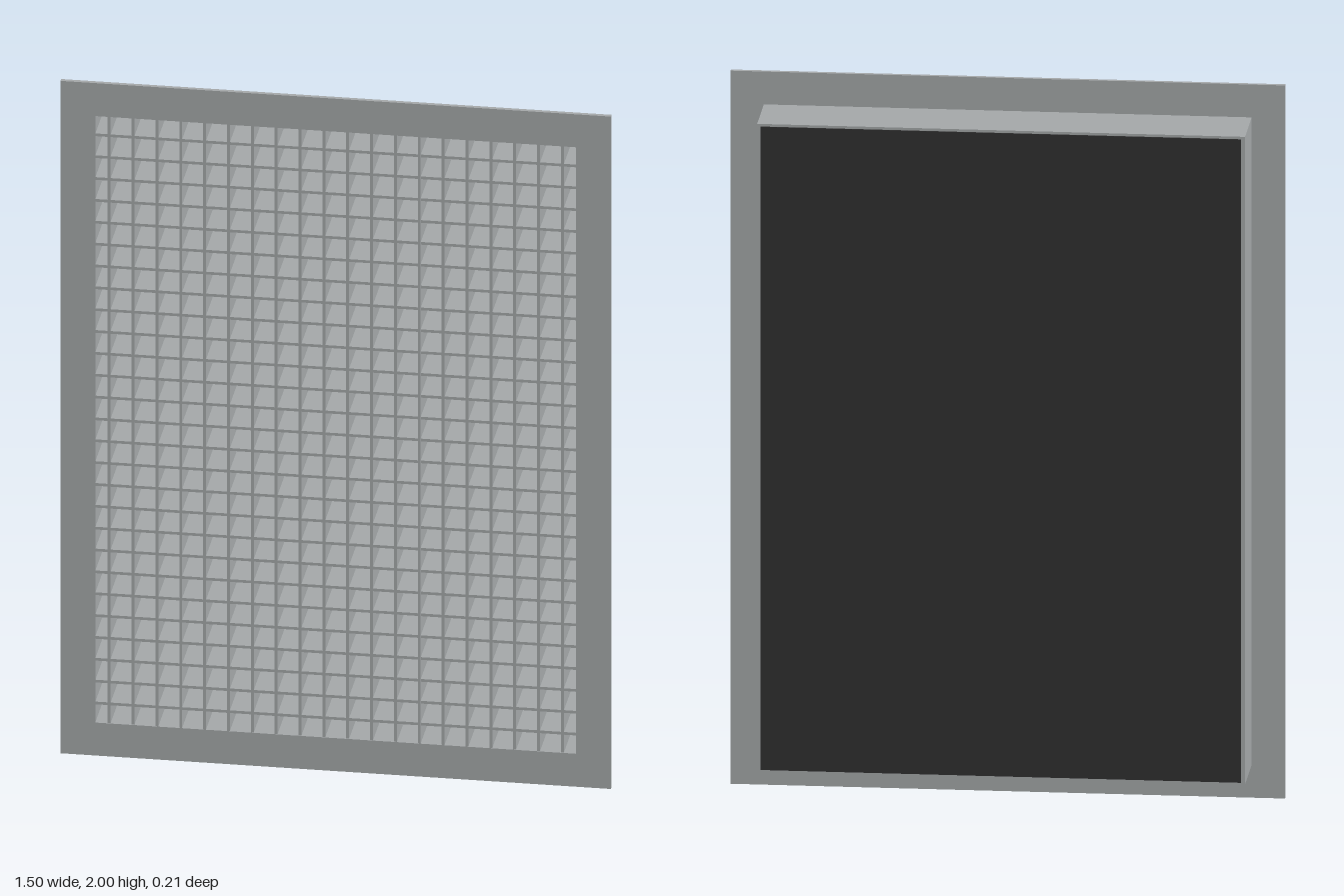
import * as THREE from 'three';

const grey = new THREE.MeshStandardMaterial({ color: 0xa3a7a8 });
grey.name = 'greyMetal';
const black = new THREE.MeshStandardMaterial({ color: 0x303030 });
black.name = 'blackBacking';

const MID = 1; // height of the centre

function box(name, w, h, d, x, y, z, material = grey) {
  const mesh = new THREE.Mesh(new THREE.BoxGeometry(w, h, d), material);
  mesh.name = name;
  mesh.position.set(x, y, z);
  return mesh;
}

// Rectangular ring, extruded from zBack to zFront
function ring(name, outerX, outerY, innerX, innerY, zBack, zFront) {
  const rect = (path, a, b) =>
    path.moveTo(-a, -b).lineTo(a, -b).lineTo(a, b).lineTo(-a, b).closePath();
  const shape = new THREE.Shape();
  rect(shape, outerX, outerY);
  const hole = new THREE.Path();
  rect(hole, innerX, innerY);
  shape.holes.push(hole);
  const geometry = new THREE.ExtrudeGeometry(shape, { depth: zFront - zBack, bevelEnabled: false });
  const mesh = new THREE.Mesh(geometry, grey);
  mesh.name = name;
  mesh.position.set(0, MID, zBack);
  return mesh;
}

export function createModel() {
  const model = new THREE.Group();
  model.name = 'ventGrille';

  // Front flange and the neck behind it
  model.add(ring('flange', 0.75, 1, 0.655, 0.902, 0.092, 0.104));
  model.add(ring('neck', 0.66, 0.908, 0.655, 0.902, -0.097, 0.092));
  model.add(box('neckBack', 1.31, 1.804, 0.004, 0, MID, -0.095));

  // Square lattice of thin deep blades
  const lattice = new THREE.Group();
  lattice.name = 'lattice';
  const pitch = 0.065, blade = 0.008, zBack = -0.093, zFront = 0.102;
  const depth = zFront - zBack, zMid = (zFront + zBack) / 2;
  for (let i = 0; i < 20; i++) {
    lattice.add(box('uprightBlade', blade, 1.804, depth, (i - 9.5) * pitch, MID, zMid));
  }
  for (let i = 0; i < 27; i++) {
    // Slightly shallower, so the crossings do not share a front face
    lattice.add(box('levelBlade', 1.31, blade, depth - 0.001, 0, MID + (i - 13) * pitch, zMid - 0.0005));
  }
  model.add(lattice);

  // Dark sheet just behind the neck
  model.add(box('backingSheet', 1.3, 1.804, 0.003, 0, MID, -0.1025, black));
  return model;
}
